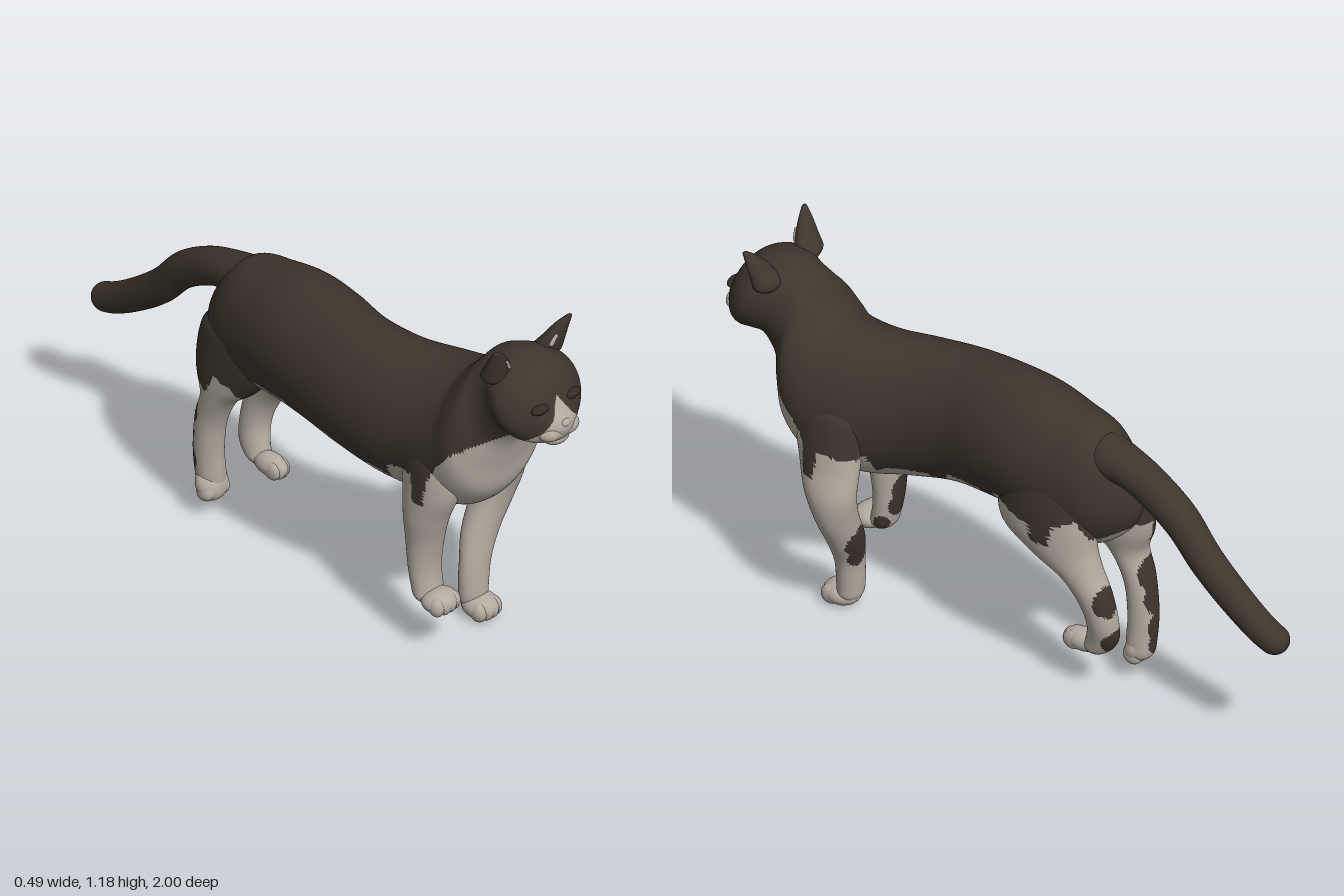
import * as THREE from 'three';

const fur = new THREE.MeshStandardMaterial({ color: 0x3e352c });
fur.name = 'dark fur';
const white = new THREE.MeshStandardMaterial({ color: 0xb3aba0 });
white.name = 'pale fur';
const lid = new THREE.MeshStandardMaterial({ color: 0x342c25 });
lid.name = 'eyelid';

// Piecewise linear lookup in a list of [key, value]
function lookup(list, k) {
  if (k <= list[0][0]) return list[0][1];
  for (let i = 1; i < list.length; i++) {
    const [k0, v0] = list[i - 1], [k1, v1] = list[i];
    if (k <= k1) return v0 + (v1 - v0) * (k - k0) / (k1 - k0);
  }
  return list[list.length - 1][1];
}

// Lower edge of the dark coat: [z, y]
const COAT = [[-.5, .56], [-.4, .59], [-.34, .56], [-.3, .64], [-.24, .61], [-.22, .54], [-.17, .54],
  [-.15, .6], [0, .62], [.01, .54], [.06, .54], [.07, .6], [.19, .59], [.21, .545], [.25, .53],
  [.27, .56], [.38, .55], [.42, .53], [.43, .6], [.54, .62], [.55, .53], [.59, .53], [.6, .62],
  [.64, .69], [.7, .76], [.8, .82], [.86, .85], [1, .85]];
// Half width of the face blaze: [y, x]
const BLAZE = [[.84, .125], [.87, .11], [.9, .08], [.95, .035], [1.0, .006], [1.01, 0]];
// Dark spots on the legs: [x, y, z, radius]
const SPOTS = [[.04, .365, -.39, .05], [.02, .215, -.405, .045],
  [-.15, .38, -.43, .06], [-.15, .3, -.455, .06], [-.16, .2, -.455, .06], [-.15, .14, -.45, .045],
  [.12, .28, .445, .055], [.1, .22, .455, .05], [-.15, .32, .47, .055], [-.14, .26, .48, .05],
  [-.09, .19, .525, .03]];

function isWhite(x, y, z) {
  if (z > .84 && y > .82) return Math.abs(x) < lookup(BLAZE, y);
  if (SPOTS.some(([a, b, c, r]) => Math.hypot(x - a, y - b, z - c) < r)) return false;
  const dip = x < -.13 && z < -.15 ? .08 : 0;
  return y < lookup(COAT, z) - dip;
}

// Sorts the triangles into a dark and a pale group
function painted(name, geo) {
  const p = geo.attributes.position, idx = geo.index.array, sets = [[], []];
  for (let i = 0; i < idx.length; i += 3) {
    const t = [idx[i], idx[i + 1], idx[i + 2]];
    const mid = f => (p[f](t[0]) + p[f](t[1]) + p[f](t[2])) / 3;
    sets[isWhite(mid('getX'), mid('getY'), mid('getZ')) ? 1 : 0].push(...t);
  }
  geo.setIndex([...sets[0], ...sets[1]]);
  geo.clearGroups();
  geo.addGroup(0, sets[0].length, 0);
  geo.addGroup(sets[0].length, sets[1].length, 1);
  return plain(name, geo, [fur, white]);
}

function plain(name, geo, mat) {
  const mesh = new THREE.Mesh(geo, mat);
  mesh.name = name;
  return mesh;
}

// Smooth skin with rounded ends between two side outlines.
// Sections: [x, outline A y, z, outline B y, z, half width]; A is up when heading to +z, front when heading down.
function loft(sections, rings = 80, sides = 48) {
  const curve = f => new THREE.CatmullRomCurve3(sections.map(f), false, 'catmullrom');
  const pathA = curve(s => new THREE.Vector3(s[0], s[1], s[2]));
  const pathB = curve(s => new THREE.Vector3(s[0], s[3], s[4]));
  const width = curve(s => new THREE.Vector3(s[5], 0, 0));
  const middle = u => pathA.getPoint(u).add(pathB.getPoint(u)).multiplyScalar(.5);
  const first = middle(0), last = middle(1);
  const pos = [], idx = [];
  for (let i = 0; i <= rings; i++) {
    const u = .5 - .5 * Math.cos(Math.PI * i / rings);
    const c = middle(u), up = pathA.getPoint(u).sub(c), w = width.getPoint(u).x;
    const d = Math.min(1, Math.min(c.distanceTo(first), c.distanceTo(last)) / Math.min(w, up.length()));
    const k = Math.max(.002, Math.sqrt(1 - (1 - d) ** 2));
    for (let j = 0; j < sides; j++) {
      const a = j / sides * Math.PI * 2;
      const v = c.clone().addScaledVector(up, k * Math.sin(a));
      pos.push(v.x + w * k * Math.cos(a), v.y, v.z);
      if (i < rings) {
        const n = (j + 1) % sides, o = i * sides;
        idx.push(o + j, o + n, o + sides + j, o + n, o + sides + n, o + sides + j);
      }
    }
  }
  const geo = new THREE.BufferGeometry();
  geo.setAttribute('position', new THREE.Float32BufferAttribute(pos, 3));
  geo.setIndex(idx);
  geo.computeVertexNormals();
  return geo;
}

function ball(center, radii, detail = 28) {
  return new THREE.SphereGeometry(1, detail, Math.round(detail * .7)).scale(...radii).translate(...center);
}

// Paw with four soft toes
function paw(name, center, radii, tilt = 0) {
  const g = new THREE.Group();
  g.name = name;
  g.add(plain('pawPad', ball([0, 0, 0], radii), white));
  for (let i = 0; i < 4; i++) {
    const s = (i - 1.5) / 1.5;
    g.add(plain('toe', ball([s * radii[0] * .55, -radii[1] * .1, radii[2] * (.5 - .12 * s * s)],
      [radii[0] * .4, radii[1] * .84, radii[2] * .52], 18), white));
  }
  g.position.set(...center);
  g.rotation.x = tilt;
  return g;
}

export function createModel() {
  const cat = new THREE.Group();
  cat.name = 'walkingCat';

  // Torso, neck and head in one skin, rump to nose
  cat.add(painted('bodyAndHead', loft([
    [-.065, .78, -.43, .55, -.43, .08], [-.062, .83, -.39, .53, -.38, .105], [-.055, .915, -.3, .505, -.3, .14],
    [-.055, .94, -.2, .515, -.2, .16], [-.06, .96, -.08, .53, -.08, .175], [-.07, .96, .05, .53, .05, .175],
    [-.08, .95, .2, .51, .2, .165], [-.06, .94, .35, .48, .35, .17], [-.02, .94, .48, .465, .48, .185],
    [0, .955, .59, .475, .62, .198], [0, .985, .63, .56, .715, .198], [0, 1.03, .67, .67, .745, .178],
    [0, 1.065, .7, .76, .775, .142], [0, 1.085, .735, .83, .83, .132], [0, 1.1, .78, .842, .87, .15],
    [0, 1.1, .83, .842, .9, .157], [0, 1.085, .89, .842, .935, .136], [0, 1.05, .932, .848, .956, .104],
    [0, .99, .962, .856, .976, .074], [0, .96, .985, .872, .988, .05], [0, .945, 1, .885, .998, .03]], 240, 110)));
  cat.add(plain('tail', loft([
    [-.05, .75, -.24, .91, -.26, .085], [-.045, .755, -.385, .872, -.41, .066], [-.04, .72, -.48, .83, -.52, .06],
    [-.035, .655, -.58, .755, -.635, .057], [-.03, .565, -.665, .65, -.73, .053],
    [-.025, .485, -.765, .565, -.83, .05], [-.02, .41, -.885, .495, -.93, .047],
    [-.018, .375, -.98, .455, -1.015, .045]]), fur));

  // Legs, mid stride
  cat.add(painted('leftFrontLeg', loft([
    [.1, .78, .65, .78, .45, .08], [.135, .66, .66, .66, .44, .072], [.155, .56, .635, .56, .435, .068],
    [.176, .465, .6, .465, .435, .068], [.158, .37, .57, .37, .445, .07], [.115, .27, .555, .27, .455, .066],
    [.083, .18, .555, .18, .475, .055], [.07, .09, .56, .09, .48, .05], [.07, .02, .56, .02, .485, .045]])));
  cat.add(painted('rightFrontLeg', loft([
    [-.1, .78, .66, .78, .46, .08], [-.128, .66, .665, .66, .455, .074], [-.137, .56, .66, .56, .46, .07],
    [-.143, .46, .62, .46, .47, .066], [-.14, .36, .59, .36, .48, .06], [-.14, .26, .578, .26, .492, .055],
    [-.14, .15, .595, .15, .515, .05]])));
  cat.add(painted('leftHindLeg', loft([
    [.005, .8, -.02, .8, -.3, .09], [.025, .66, 0, .68, -.32, .09], [.033, .545, -.01, .6, -.335, .086],
    [.035, .475, -.11, .52, -.34, .076], [.035, .42, -.22, .45, -.36, .062], [.032, .355, -.28, .38, -.39, .053],
    [.022, .28, -.308, .28, -.408, .047], [.01, .21, -.3, .2, -.4, .042], [.005, .15, -.28, .135, -.345, .036]])));
  cat.add(painted('rightHindLeg', loft([
    [-.105, .78, -.1, .75, -.4, .09], [-.118, .62, -.12, .64, -.432, .086], [-.13, .51, -.2, .54, -.43, .075],
    [-.14, .44, -.28, .45, -.4, .06], [-.14, .34, -.33, .36, -.425, .051], [-.137, .23, -.345, .23, -.44, .047],
    [-.13, .13, -.345, .12, -.435, .046], [-.128, .07, -.35, .07, -.425, .042]])));
  cat.add(paw('leftFrontPaw', [.07, .038, .55], [.055, .038, .06]));
  cat.add(paw('rightFrontPaw', [-.14, .175, .598], [.058, .037, .052]));
  cat.add(paw('leftHindPaw', [0, .165, -.272], [.037, .036, .064]));
  cat.add(paw('rightHindPaw', [-.135, .112, -.382], [.056, .038, .057], 1.15));

  // Face
  cat.add(plain('chin', ball([0, .866, .945], [.045, .025, .036]), white));
  cat.add(plain('nose', ball([0, .93, .985], [.019, .014, .015]), white));
  for (const s of [-1, 1]) {
    const label = s > 0 ? 'left' : 'right';
    cat.add(plain(label + 'WhiskerPad', ball([s * .03, .898, .955], [.045, .03, .037]), white));
    cat.add(plain(label + 'Eyelid', ball([s * .064, .985, .946], [.032, .016, .018]), lid));
    cat.add(plain(label + 'Ear', loft([[s * .098, 1.05, .745, 1.02, .83, .06], [s * .113, 1.1, .785, 1.09, .842, .046],
      [s * .13, 1.145, .815, 1.138, .85, .029], [s * .15, 1.18, .845, 1.176, .856, .007]], 40, 28), fur));
    cat.add(plain(label + 'InnerEar', loft([[s * .085, 1.09, .826, 1.086, .843, .008],
      [s * .092, 1.107, .83, 1.103, .846, .007], [s * .102, 1.127, .838, 1.123, .85, .004]], 16, 14), white));
  }
  return cat;
}
